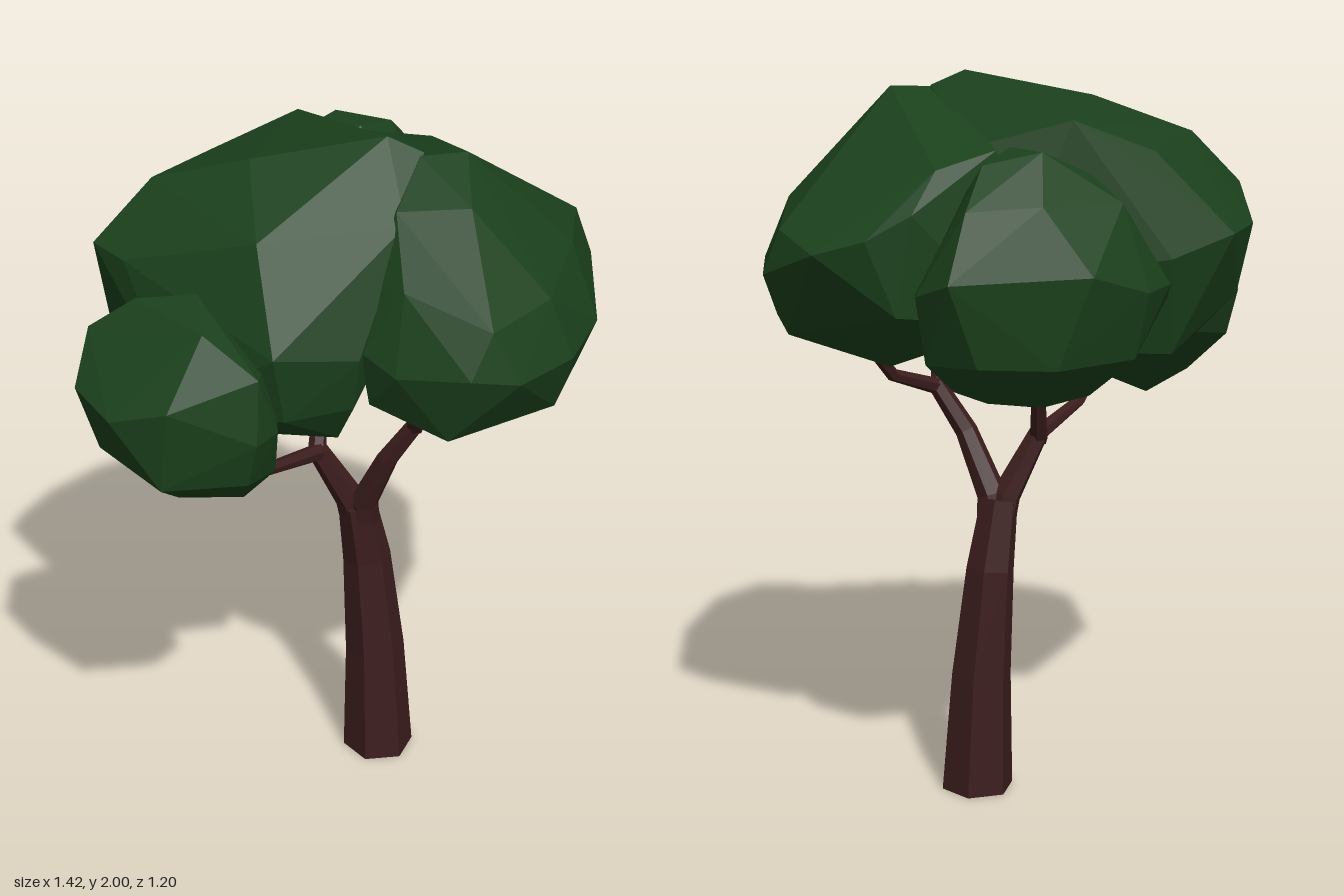
import * as THREE from 'three';
import { ConvexGeometry } from 'three/addons/geometries/ConvexGeometry.js';

const V = (p) => new THREE.Vector3(...p);

// Six-sided limb lofted through [x, y, z, radius] stations, capped at both ends
function limbGeometry(stations, level, sides = 6) {
  const centres = stations.map((s) => V(s.slice(0, 3)));
  const pos = [], index = [];
  stations.forEach((s, i) => {
    const before = centres[Math.max(i - 1, 0)];
    const after = centres[Math.min(i + 1, centres.length - 1)];
    const dir = level && i === 0 ? V([0, 1, 0]) : after.clone().sub(before).normalize();
    const side = new THREE.Vector3().crossVectors(dir, V([0, 0, 1])).normalize();
    const front = new THREE.Vector3().crossVectors(side, dir);
    for (let k = 0; k < sides; k++) {
      const a = (k / sides) * Math.PI * 2;
      const p = centres[i].clone()
        .addScaledVector(side, Math.cos(a) * s[3])
        .addScaledVector(front, Math.sin(a) * s[3]);
      pos.push(p.x, p.y, p.z);
    }
  });
  const last = (stations.length - 1) * sides;
  for (let i = 0; i < last; i += sides) {
    for (let k = 0; k < sides; k++) {
      const n = (k + 1) % sides;
      index.push(i + k, i + sides + k, i + n, i + n, i + sides + k, i + sides + n);
    }
  }
  for (let k = 1; k < sides - 1; k++) {
    index.push(0, k, k + 1, last, last + k + 1, last + k);
  }
  const g = new THREE.BufferGeometry();
  g.setAttribute('position', new THREE.Float32BufferAttribute(pos, 3));
  g.setIndex(index);
  const flat = g.toNonIndexed();
  flat.computeVertexNormals();
  return flat;
}

// Trunk, two main boughs and their forks
const limbs = {
  trunk: [[0.12, 0, -0.025, 0.102], [0.11, 0.34, -0.035, 0.085], [0.085, 0.65, -0.04, 0.068], [0.053, 0.84, -0.022, 0.053]],
  rightBough: [[0.065, 0.72, -0.032, 0.045], [0.035, 0.85, -0.025, 0.042], [-0.06, 1.02, -0.02, 0.029]],
  leftBough: [[0.075, 0.72, -0.03, 0.048], [0.07, 0.85, -0.005, 0.042], [0.125, 1.02, 0.06, 0.031], [0.2, 1.15, 0.1, 0.025]],
  frontRightBranch: [[-0.05, 1.01, -0.02, 0.025], [-0.23, 1.06, 0.15, 0.017], [-0.33, 1.17, 0.25, 0.014]],
  backBranch: [[-0.06, 1.0, -0.02, 0.026], [-0.035, 1.15, -0.1, 0.02], [0.01, 1.28, -0.21, 0.016]],
  frontLeftBranch: [[0.195, 1.13, 0.095, 0.023], [0.175, 1.22, 0.17, 0.019], [0.17, 1.36, 0.25, 0.015]],
  sideBranch: [[0.195, 1.14, 0.1, 0.023], [0.34, 1.2, 0.02, 0.018], [0.45, 1.34, -0.07, 0.014]],
};

// Corner points of the faceted leaf masses
const crowns = {
  frontRightLeaves: [
    [-0.715, 1.43, 0.3], [-0.66, 1.23, 0.26], [-0.67, 1.55, 0.2], [-0.64, 1.4, 0.44], [-0.66, 1.38, 0.04],
    [-0.52, 1.22, 0.49], [-0.5, 1.45, 0.515], [-0.28, 1.35, 0.525], [-0.4, 1.67, 0.3], [-0.4, 1.62, 0.43],
    [-0.55, 1.63, 0.22], [-0.27, 1.52, 0.5], [-0.46, 1.05, 0.24], [-0.3, 1.11, 0.36], [-0.57, 1.12, 0.2],
    [-0.22, 1.2, 0.39], [-0.3, 1.13, 0.18], [-0.3, 1.22, 0.49], [-0.5, 1.27, 0.02], [-0.3, 1.25, 0.04],
    [-0.2, 1.45, 0.2], [-0.22, 1.35, 0.46], [-0.65, 1.24, 0.1]],
  middleLeaves: [
    [0.1, 2, 0.15], [-0.24, 1.93, 0.08], [-0.07, 1.91, -0.29], [-0.48, 1.84, -0.05], [-0.3, 1.82, -0.27],
    [-0.64, 1.69, 0], [-0.62, 1.6, -0.16], [-0.51, 1.6, -0.31], [-0.32, 1.55, -0.36], [-0.6, 1.4, -0.1],
    [-0.57, 1.68, 0.1], [-0.25, 1.8, 0.31], [-0.23, 1.55, 0.46], [-0.01, 1.52, 0.43], [-0.2, 1.2, 0.2],
    [-0.2, 1.19, 0], [0, 1.2, 0.1], [-0.45, 1.26, -0.1], [-0.05, 1.25, 0.33], [-0.45, 1.35, 0.28],
    [0, 1.3, -0.25], [0.2, 1.5, 0], [-0.35, 1.28, -0.28], [0.1, 1.5, -0.3], [0.19, 1.96, 0.17],
    [0.17, 1.84, -0.2], [0.12, 1.83, 0.32], [0.3, 1.75, 0], [-0.2, 1.36, 0.43], [-0.02, 1.37, 0.4]],
  leftLeaves: [
    [0.3, 1.96, 0.18], [0.18, 1.955, 0.18], [0.13, 1.84, -0.28], [0.46, 1.8, 0], [0.38, 1.7, -0.39],
    [0.3, 1.8, -0.32], [0.5, 1.64, -0.39], [0.62, 1.6, -0.32], [0.67, 1.64, -0.15], [0.71, 1.52, -0.12],
    [0.64, 1.5, 0.25], [0.64, 1.35, -0.08], [0.53, 1.5, 0.45], [0.37, 1.5, 0.575], [0.24, 1.53, 0.6],
    [0.07, 1.5, 0.5], [0, 1.53, 0.41], [0.28, 1.88, 0.35], [0.1, 1.86, 0.3], [0.43, 1.26, 0.1],
    [0.4, 1.28, -0.22], [0.25, 1.27, 0.38], [0.2, 1.33, 0.53], [0.5, 1.34, 0.4], [0.02, 1.38, 0.4],
    [0.05, 1.4, -0.1], [0.42, 1.44, -0.38], [0.1, 1.4, -0.35], [0.2, 1.28, 0], [0.3, 1.64, 0.56],
    [0.47, 1.66, 0.43], [0.1, 1.7, 0.43], [0.59, 1.68, 0.14], [0.04, 1.72, 0.33], [0.63, 1.36, 0.14]],
  backLeaves: [
    [-0.03, 1.56, -0.6], [0.33, 1.55, -0.555], [0.38, 1.5, -0.42], [-0.2, 1.5, -0.53], [-0.29, 1.5, -0.43],
    [-0.32, 1.45, -0.33], [-0.15, 1.72, -0.46], [0.08, 1.73, -0.53], [0.27, 1.72, -0.5], [0.05, 1.85, -0.42],
    [0.2, 1.82, -0.4], [0.1, 1.85, -0.3], [-0.1, 1.78, -0.36], [0.05, 1.32, -0.56], [0.25, 1.33, -0.53],
    [-0.18, 1.32, -0.48], [0.05, 1.2, -0.44], [0.05, 1.17, -0.31], [0.25, 1.22, -0.3], [0.2, 1.22, -0.44],
    [-0.1, 1.2, -0.35], [-0.15, 1.25, -0.2], [0.1, 1.19, -0.2], [0.35, 1.32, -0.4], [0.3, 1.5, -0.1],
    [-0.2, 1.5, -0.1]],
};

export function createModel() {
  const tree = new THREE.Group();
  tree.name = 'tree';
  const bark = new THREE.MeshStandardMaterial({ color: 0x3c1d1d });
  bark.name = 'bark brown';
  const leaf = new THREE.MeshStandardMaterial({ color: 0x1b411c });
  leaf.name = 'leaf green';
  bark.flatShading = leaf.flatShading = true;

  const add = (name, geometry, material) => {
    const mesh = new THREE.Mesh(geometry, material);
    mesh.name = name;
    tree.add(mesh);
  };
  for (const [name, stations] of Object.entries(limbs)) {
    add(name, limbGeometry(stations, name === 'trunk'), bark);
  }
  for (const [name, points] of Object.entries(crowns)) {
    add(name, new ConvexGeometry(points.map(V)), leaf);
  }
  return tree;
}
